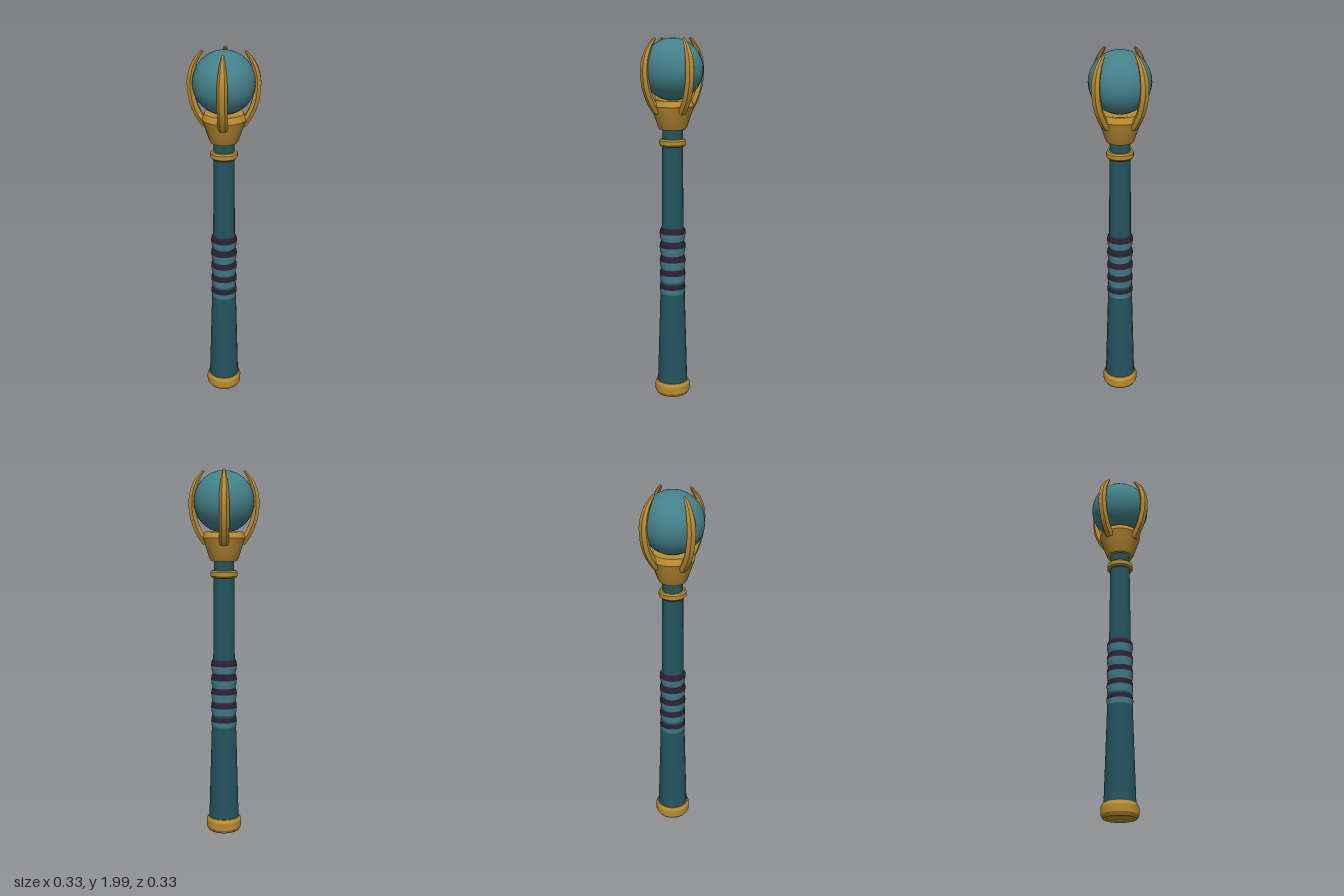
import * as THREE from 'three';
import { toCreasedNormals } from 'three/addons/utils/BufferGeometryUtils.js';

const material = (name, color) => {
  const m = new THREE.MeshStandardMaterial({ color });
  m.name = name;
  return m;
};

// Turned part from [radius, y] points, listed bottom to top
function turned(name, mat, profile, segments = 20) {
  const points = profile.map(([r, y]) => new THREE.Vector2(r, y));
  const geometry = toCreasedNormals(new THREE.LatheGeometry(points, segments), 0.45);
  const mesh = new THREE.Mesh(geometry, mat);
  mesh.name = name;
  return mesh;
}

// Curved prong: six-sided sections swept along a path in the x-y plane
function clawGeometry() {
  const path = new THREE.CatmullRomCurve3([
    [0.095, 1.61], [0.124, 1.65], [0.156, 1.72], [0.171, 1.81],
    [0.164, 1.89], [0.14, 1.95], [0.108, 1.992],
  ].map(([x, y]) => new THREE.Vector3(x, y, 0)));
  const rings = 12, sides = 6, positions = [], index = [];
  for (let i = 0; i <= rings; i++) {
    const t = i / rings;
    const p = path.getPointAt(t), d = path.getTangentAt(t);
    const taper = t < 0.6 ? 1 : 1 - 0.7 * ((t - 0.6) / 0.4) ** 1.5;
    for (let j = 0; j < sides; j++) {
      const a = ((j + 0.5) / sides) * Math.PI * 2;
      const out = Math.cos(a) * 0.021 * taper;
      positions.push(p.x + d.y * out, p.y - d.x * out, Math.sin(a) * 0.027 * taper);
    }
  }
  for (let i = 0; i < rings; i++) {
    for (let j = 0; j < sides; j++) {
      const k = (j + 1) % sides;
      const a = i * sides + j, b = i * sides + k;
      index.push(a, a + sides, b, b, a + sides, b + sides);
    }
  }
  // End caps
  const last = rings * sides;
  for (let j = 1; j < sides - 1; j++) {
    index.push(0, j, j + 1, last, last + j + 1, last + j);
  }
  const geometry = new THREE.BufferGeometry();
  geometry.setAttribute('position', new THREE.Float32BufferAttribute(positions, 3));
  geometry.setIndex(index);
  return toCreasedNormals(geometry, 0.5);
}

export function createModel() {
  const gold = material('gold', 0xb98c30);
  const darkTeal = material('dark teal', 0x24555e);
  const teal = material('teal', 0x44818b);
  const plum = material('dark plum', 0x2b2030);

  const model = new THREE.Group();
  model.name = 'scepter';

  // Pommel and shaft
  model.add(turned('pommel', gold, [
    [0, 0.003], [0.086, 0.003], [0.098, 0.022], [0.098, 0.062], [0.088, 0.08], [0, 0.08],
  ]));
  model.add(turned('shaft', darkTeal, [
    [0.084, 0.07], [0.069, 0.58], [0.06, 0.98], [0.056, 1.44], [0.055, 1.53],
  ]));

  // Ribbed grip: each rib is dark above and teal below
  const grip = new THREE.Group();
  grip.name = 'grip';
  const pitch = 0.0785;
  for (let i = 0; i < 5; i++) {
    const top = 0.977 - i * pitch;
    const waist = 0.062 + i * 0.001;
    grip.add(turned('gripBand', plum, [
      [0.072, top - 0.033], [0.07, top - 0.015], [waist, top],
    ]));
    grip.add(turned('gripRib', teal, [
      [waist + 0.001, top - pitch], [0.069, top - 0.056], [0.072, top - 0.033],
    ]));
  }
  model.add(grip);

  // Collar ring and flared cup
  model.add(turned('collar', gold, [
    [0.054, 1.425], [0.066, 1.425], [0.073, 1.434], [0.073, 1.456], [0.066, 1.465], [0.054, 1.465],
  ]));
  model.add(turned('cup', gold, [
    [0, 1.515], [0.071, 1.515], [0.079, 1.53], [0.106, 1.61],
    [0.117, 1.64], [0.102, 1.672], [0.085, 1.672], [0, 1.655],
  ]));

  // Orb held by four claws
  const orb = new THREE.Mesh(new THREE.SphereGeometry(0.164, 24, 16), teal);
  orb.name = 'orb';
  orb.position.y = 1.831;
  model.add(orb);

  const claw = clawGeometry();
  for (let i = 0; i < 4; i++) {
    const mesh = new THREE.Mesh(claw, gold);
    mesh.name = 'claw';
    mesh.rotation.y = Math.PI / 4 + (i * Math.PI) / 2;
    model.add(mesh);
  }
  return model;
}
